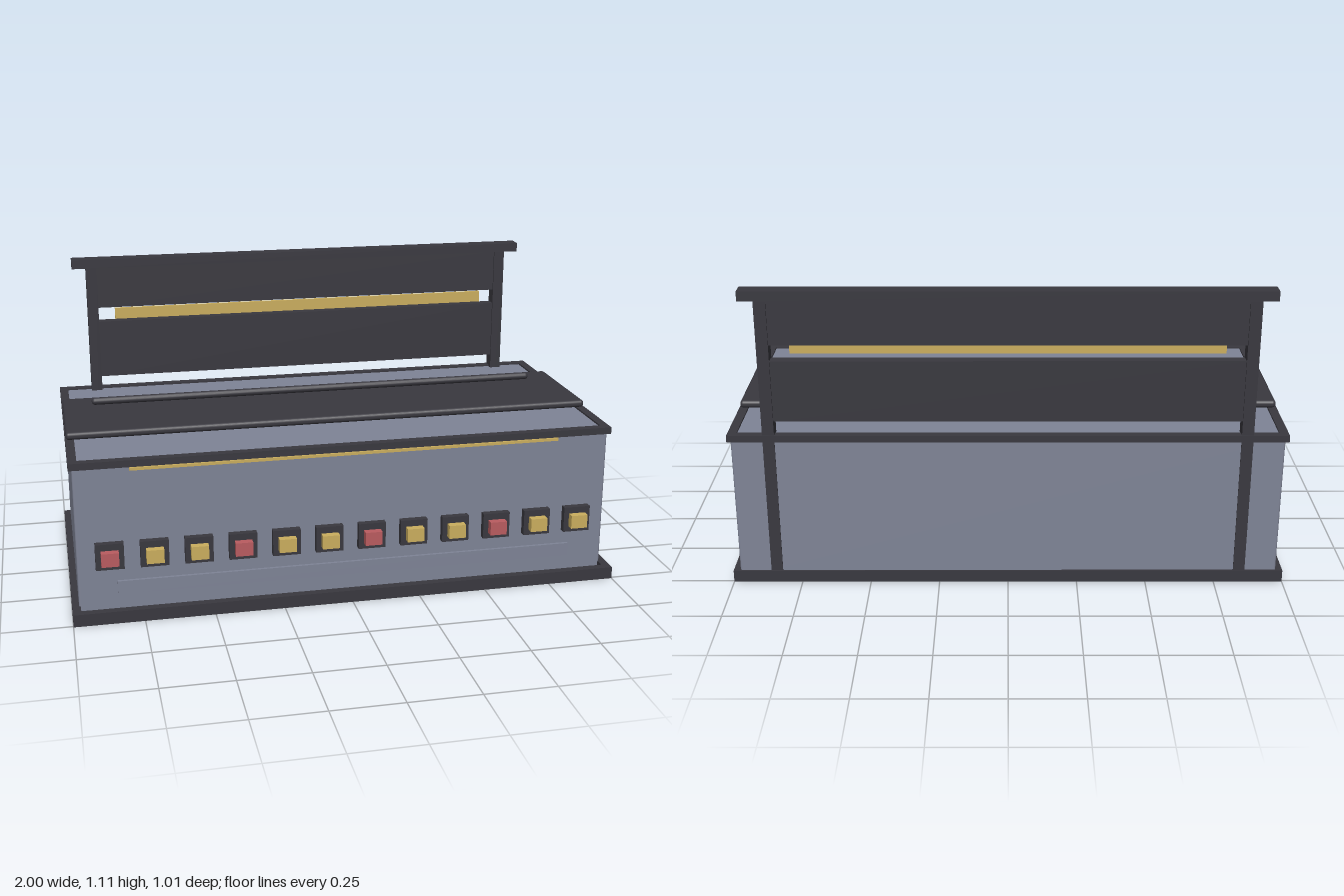
import * as THREE from 'three';
import { RoundedBoxGeometry } from 'three/addons/geometries/RoundedBoxGeometry.js';

const material = (name, color) => {
  const m = new THREE.MeshStandardMaterial({ color });
  m.name = name;
  return m;
};

export function createModel() {
  const charcoal = material('charcoal', 0x39383f);
  const slate = material('slate', 0x7f8496);
  const gold = material('gold', 0xcbae5e);
  const red = material('red', 0xba5c60);

  const model = new THREE.Group();
  model.name = 'keyboardCabinet';

  // Box given by its extents; a radius rounds the edges
  function box(name, mat, [x0, x1], [y0, y1], [z0, z1], parent = model, radius = 0) {
    const size = [x1 - x0, y1 - y0, z1 - z0];
    const geo = radius ? new RoundedBoxGeometry(...size, 3, radius) : new THREE.BoxGeometry(...size);
    const mesh = new THREE.Mesh(geo, mat);
    mesh.name = name;
    mesh.position.set((x0 + x1) / 2, (y0 + y1) / 2, (z0 + z1) / 2);
    parent.add(mesh);
    return mesh;
  }

  // Open rectangular frame lying flat, extruded upwards
  function frame(name, halfX, z0, z1, y0, y1, bar) {
    const rect = (C, inset) => {
      const x = halfX - inset, a = z0 + inset, b = z1 - inset;
      return new C([[-x, -b], [x, -b], [x, -a], [-x, -a]].map(p => new THREE.Vector2(...p)));
    };
    const shape = rect(THREE.Shape, 0);
    shape.holes.push(rect(THREE.Path, bar));
    const geo = new THREE.ExtrudeGeometry(shape, { depth: y1 - y0, bevelEnabled: false });
    geo.rotateX(-Math.PI / 2);
    const mesh = new THREE.Mesh(geo, charcoal);
    mesh.name = name;
    mesh.position.y = y0;
    model.add(mesh);
  }

  // Cabinet with its base and top frames
  frame('baseFrame', 1, -0.507, 0.507, 0, 0.045, 0.03);
  box('body', slate, [-0.976, 0.976], [0.004, 0.574], [-0.5, 0.438], model, 0.008);
  frame('topFrame', 0.988, -0.507, 0.446, 0.555, 0.58, 0.032);

  // Lid and its long handle
  box('lid', charcoal, [-0.985, 0.985], [0.579, 0.607], [-0.25, 0.188], model, 0.012);
  const rod = new THREE.Mesh(new THREE.CapsuleGeometry(0.014, 1.724, 6, 16), charcoal);
  rod.name = 'lidHandle';
  rod.rotation.z = Math.PI / 2;
  rod.position.set(0, 0.62, -0.148);
  model.add(rod);

  // Front trim
  box('goldTrim', gold, [-0.78, 0.78], [0.545, 0.555], [0.445, 0.454]);
  box('lowerPanel', slate, [-0.838, 0.838], [0.088, 0.136], [0.444, 0.455]);

  // Row of twelve push buttons, every third one red
  const buttons = new THREE.Group();
  buttons.name = 'buttonRow';
  model.add(buttons);
  for (let i = 0; i < 12; i++) {
    const x = -0.862 + i * 0.1566;
    box('buttonHousing', charcoal, [x - 0.05, x + 0.05], [0.19, 0.286], [0.447, 0.472], buttons);
    box('button', i % 3 ? gold : red, [x - 0.031, x + 0.031], [0.212, 0.262], [0.472, 0.5], buttons);
  }

  // Rear rack: posts down to the base, two panels with a slot, gold rail and cap
  const rack = new THREE.Group();
  rack.name = 'rearRack';
  model.add(rack);
  for (const s of [-1, 1]) {
    const x = s * 0.841;
    box('rackPost', charcoal, [x - 0.021, x + 0.021], [0.02, 1.075], [-0.503, -0.452], rack);
  }
  box('rackLowerPanel', charcoal, [-0.82, 0.82], [0.63, 0.855], [-0.497, -0.458], rack);
  box('rackUpperPanel', charcoal, [-0.82, 0.82], [0.912, 1.075], [-0.497, -0.458], rack);
  box('rackRail', gold, [-0.756, 0.756], [0.868, 0.911], [-0.455, -0.442], rack);
  box('rackCap', charcoal, [-0.916, 0.916], [1.073, 1.108], [-0.505, -0.448], rack);

  return model;
}
